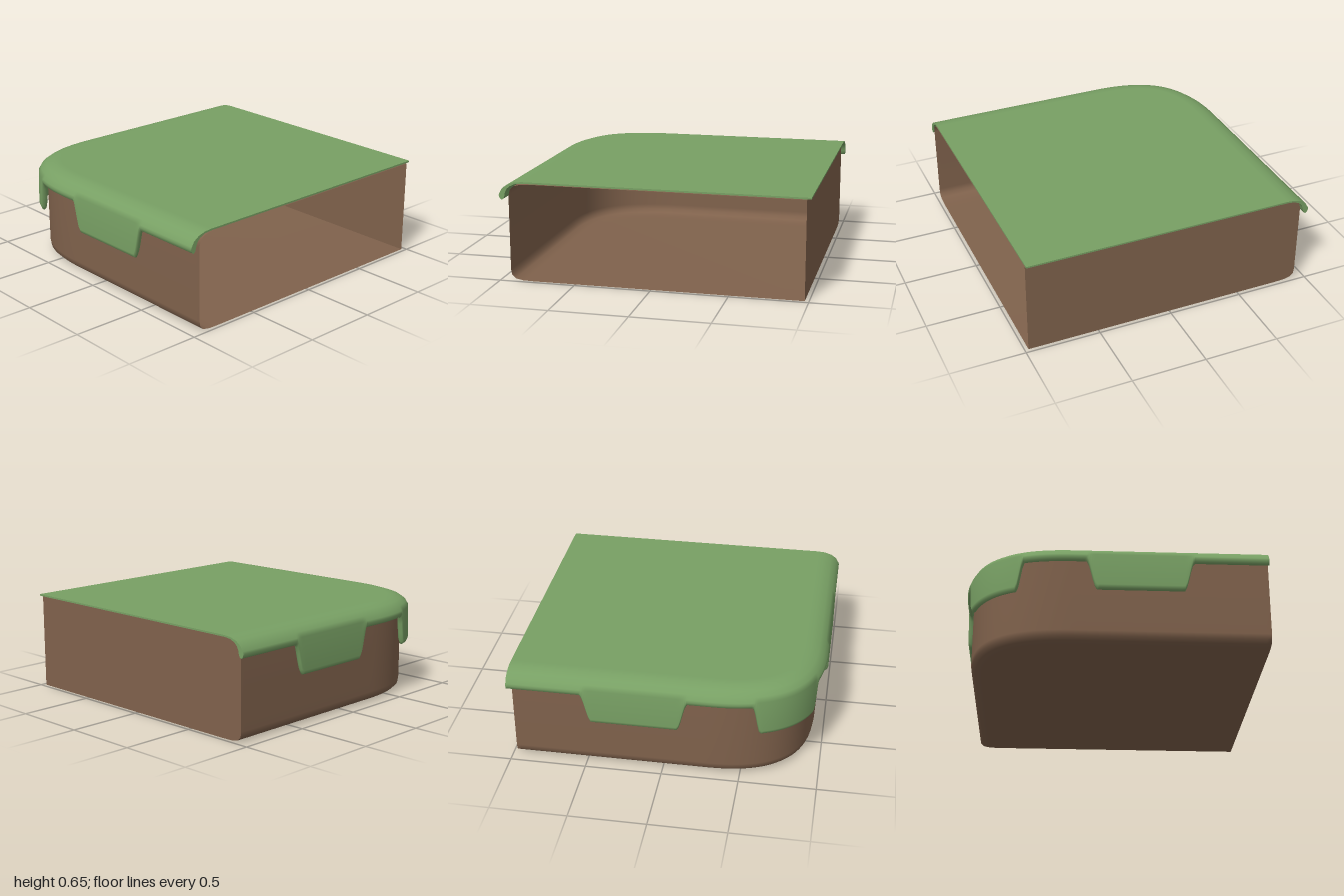
import * as THREE from 'three';

// Outline of the two finished sides: left side, rounded back corner, back side
function outline(x0, z0, x1, z1, r) {
  const v = (x, z) => new THREE.Vector2(x, z);
  const path = new THREE.CurvePath();
  path.add(new THREE.LineCurve(v(x0, z1), v(x0, z0 + r)));
  path.add(new THREE.CubicBezierCurve(
    v(x0, z0 + r), v(x0, z0 + r * 0.31), v(x0 + r * 0.31, z0), v(x0 + r, z0)));
  path.add(new THREE.LineCurve(v(x0 + r, z0), v(x1, z0)));
  return path;
}

// Sweeps a section of [inset, y] along the outline. The first and last section
// points are joined to the open corner, which makes the flat top and bottom sheets.
function sweep(path, corner, sectionAt, steps, capStart, capEnd) {
  const pos = [], idx = [];
  const rows = [];
  for (let i = 0; i <= steps; i++) {
    const p = path.getPoint(i / steps);
    const t = path.getTangent(i / steps);
    if (i === 0) t.set(0, -1);
    if (i === steps) t.set(1, 0);
    const sec = sectionAt(p);
    const row = sec.map(([d, y]) => [p.x - t.y * d, y, p.y + t.x * d]);
    row.unshift([corner[0], sec[0][1], corner[1]]);
    row.push([corner[0], sec[sec.length - 1][1], corner[1]]);
    rows.push(row);
    row.forEach((q) => pos.push(...q));
  }
  const n = rows[0].length;
  for (let i = 0; i < steps; i++) {
    for (let j = 0; j < n - 1; j++) {
      const a = i * n + j, b = a + n;
      if (j < n - 2) idx.push(a, b + 1, a + 1);
      if (j > 0) idx.push(a, b, b + 1);
    }
  }
  // Flat end caps, bridging the upper half of the section to the lower half
  const cap = (row, flip) => {
    const base = pos.length / 3;
    row.forEach((q) => pos.push(...q));
    for (let j = 0; j < Math.floor((n - 1) / 2); j++) {
      const a = base + j, b = a + 1, c = base + n - 2 - j, d = c + 1;
      if (flip) idx.push(a, c, b, a, d, c);
      else idx.push(a, b, c, a, c, d);
    }
  };
  if (capStart) cap(rows[0], false);
  if (capEnd) cap(rows[steps], true);
  const geo = new THREE.BufferGeometry();
  geo.setAttribute('position', new THREE.Float32BufferAttribute(pos, 3));
  geo.setIndex(idx);
  geo.computeVertexNormals();
  return geo;
}

// Height of the grass hem: long tabs on each side and around the corner
function hem(p) {
  const a = Math.abs(p.x - p.y);
  const s = THREE.MathUtils.smoothstep;
  const corner = 1 - s(a, 0.30, 0.37);
  const side = s(a, 0.81, 0.88) * (1 - s(a, 1.43, 1.50));
  return 0.53 - 0.2 * Math.max(corner, side);
}

function grassSection(p) {
  const h = hem(p);
  return [
    [0.16, 0.652], [0.11, 0.648], [0.06, 0.632], [0.025, 0.607], [0.006, 0.575],
    [0, h + 0.03], [0.008, h + 0.008], [0.02, h], [0.032, h + 0.008], [0.04, h + 0.03],
    [0.042, 0.575], [0.055, 0.602], [0.075, 0.62], [0.11, 0.636], [0.16, 0.641],
  ];
}

function soilSection() {
  return [
    [0.15, 0.637], [0.08, 0.634], [0.035, 0.622], [0.01, 0.6], [0, 0.56],
    [0, 0.07], [0.006, 0.035], [0.03, 0.012], [0.08, 0.002], [0.15, 0],
  ];
}

export function createModel() {
  const group = new THREE.Group();
  group.name = 'cornerGroundTile';
  const add = (name, geo, color) => {
    const mat = new THREE.MeshStandardMaterial({ color, side: THREE.DoubleSide });
    const mesh = new THREE.Mesh(geo, mat);
    mesh.name = name;
    group.add(mesh);
  };

  // Hollow soil block: closed on the right end, open at the front
  add('soilBlock', sweep(outline(-0.933, -0.93, 0.973, 0.975, 0.65),
    [0.973, 0.975], soilSection, 120, false, true), 0x80624c);

  // Grass sheet with a rolled edge and hanging tabs
  add('grassCover', sweep(outline(-1, -0.975, 1, 0.975, 0.7),
    [1, 0.975], grassSection, 280, true, true), 0x78a064);

  return group;
}
